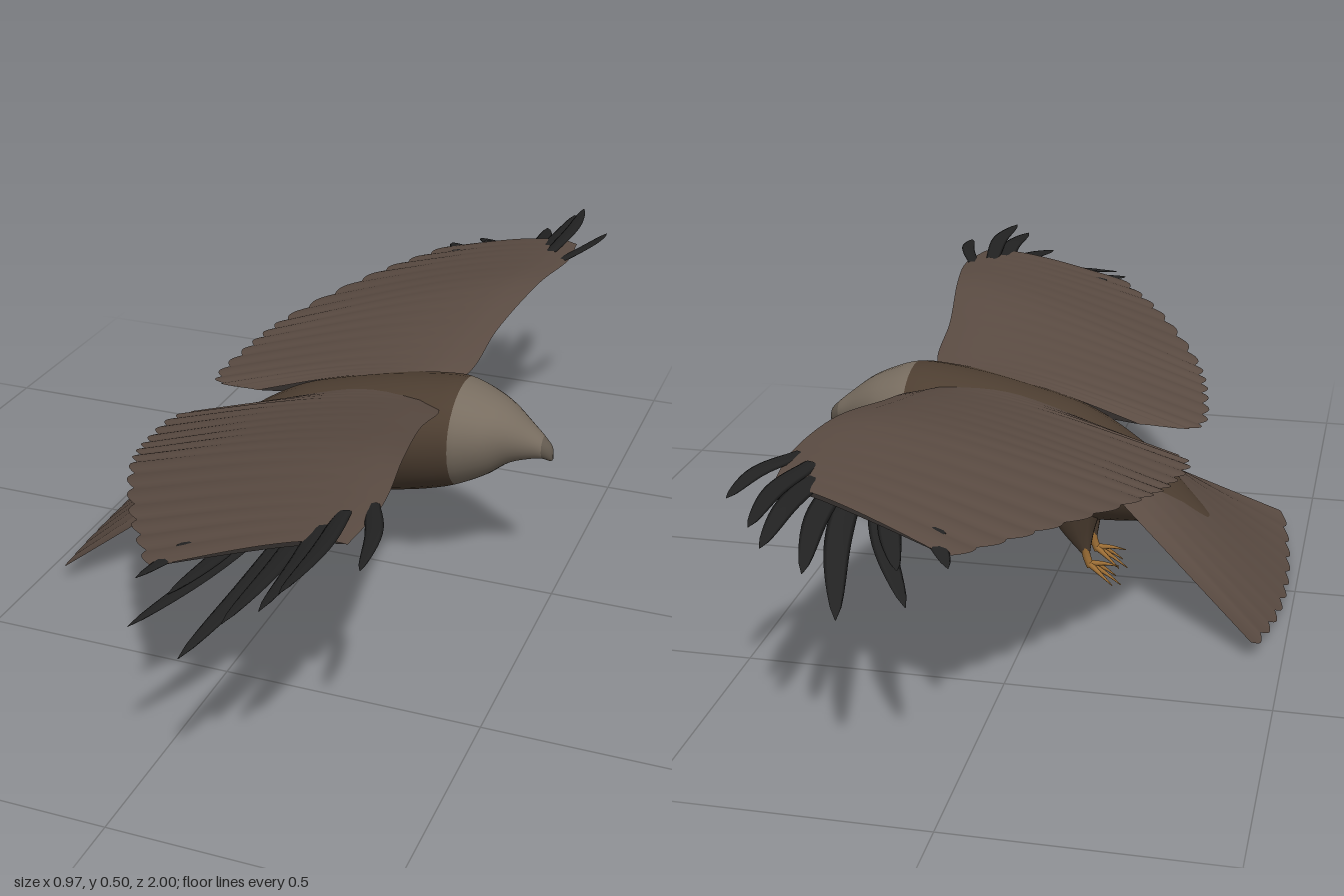
import * as THREE from 'three';

const V = (x, y, z) => new THREE.Vector3(x, y, z);
const spline = (pts) => new THREE.CatmullRomCurve3(pts.map((p) => V(...p)));
const paint = (color) => new THREE.MeshStandardMaterial({ color, side: THREE.DoubleSide, roughness: 0.9 });

const plumage = paint(0x5a4b42);
const belly = paint(0x4d3e31);
const headTone = paint(0x786d60);
const beakTone = paint(0x645b50);
const underTone = paint(0x2c2826);
const quill = paint(0x222222);
const skin = paint(0x9a6c34);

// Smooth surface from a rule point(u, v); wrap closes it in v.
function surface(name, material, nu, nv, point, { flip = false, wrap = false } = {}) {
  const cols = wrap ? nv : nv + 1;
  const pos = [], index = [];
  for (let i = 0; i <= nu; i++)
    for (let j = 0; j < cols; j++) pos.push(...point(i / nu, j / nv).toArray());
  for (let i = 0; i < nu; i++)
    for (let j = 0; j < nv; j++) {
      const k = (j + 1) % cols;
      const a = i * cols + j, b = a + cols, c = i * cols + k, d = c + cols;
      if (flip) index.push(a, c, b, b, c, d);
      else index.push(a, b, c, b, d, c);
    }
  const g = new THREE.BufferGeometry();
  g.setAttribute('position', new THREE.Float32BufferAttribute(pos, 3));
  g.setIndex(index);
  g.computeVertexNormals();
  const mesh = new THREE.Mesh(g, material);
  mesh.name = name;
  return mesh;
}

// Tapered limb or feather along a path; side is the direction of its width.
function limb(name, material, pts, side, width, thick, sides = 8, steps = 12) {
  const path = spline(pts);
  return surface(name, material, steps, sides, (u, v) => {
    const d = path.getTangent(u);
    const b = side.clone().cross(d).normalize();
    const n = d.clone().cross(b);
    const a = v * Math.PI * 2;
    return path.getPoint(u)
      .addScaledVector(n, Math.cos(a) * width(u))
      .addScaledVector(b, Math.sin(a) * thick(u));
  }, { wrap: true });
}

// Body stations from rump to beak tip: x, top, bottom, half width
const STATIONS = [
  [-0.35, 0.125, 0.105, 0.02], [-0.26, 0.215, 0.133, 0.065], [-0.2, 0.275, 0.143, 0.09],
  [-0.13, 0.33, 0.138, 0.1], [-0.05, 0.375, 0.138, 0.112], [0.05, 0.405, 0.162, 0.122],
  [0.15, 0.428, 0.187, 0.126], [0.24, 0.442, 0.207, 0.122], [0.3, 0.445, 0.226, 0.11],
  [0.36, 0.426, 0.258, 0.086], [0.4, 0.405, 0.288, 0.06], [0.44, 0.374, 0.302, 0.034],
  [0.465, 0.353, 0.306, 0.02], [0.482, 0.335, 0.303, 0.009], [0.486, 0.322, 0.308, 0.002],
];
const outline = spline(STATIONS.map(([x, t, b]) => [x, t, b]));
const girth = spline(STATIONS.map(([x, , , w]) => [x, w, 0]));

function bodyPart(name, material, from, to) {
  const last = STATIONS.length - 1;
  return surface(name, material, (to - from) * 5, 28, (u, v) => {
    const t = (from + (to - from) * u) / last;
    const o = outline.getPoint(t), w = girth.getPoint(t).y;
    const a = v * Math.PI * 2, c = Math.cos(a);
    // fuller above the middle, narrower towards the keel
    const y = (o.y + o.z) / 2 + c * (o.y - o.z) / 2;
    return V(o.x, y, -Math.sin(a) * w * (1 + 0.14 * c));
  }, { wrap: true });
}

// Wing edges on the +z side, root to tip
const LEADING = spline([[0.24, 0.4, 0.03], [0.28, 0.42, 0.1], [0.292, 0.455, 0.25],
  [0.325, 0.49, 0.45], [0.347, 0.487, 0.62], [0.335, 0.48, 0.75]]);
const TRAILING = spline([[-0.17, 0.33, 0.045], [-0.275, 0.315, 0.09], [-0.272, 0.33, 0.25],
  [-0.235, 0.352, 0.39], [-0.115, 0.388, 0.63], [0.01, 0.41, 0.82]]);

// Wingtip feathers: root, tip, half width
const FINGERS = [
  [[0.33, 0.485, 0.62], [0.385, 0.485, 0.83], 0.015],
  [[0.295, 0.485, 0.66], [0.3, 0.495, 0.955], 0.017],
  [[0.265, 0.478, 0.66], [0.275, 0.47, 0.975], 0.019],
  [[0.24, 0.468, 0.66], [0.21, 0.43, 0.97], 0.02],
  [[0.22, 0.46, 0.67], [0.148, 0.37, 1.0], 0.022],
  [[0.17, 0.45, 0.69], [0.045, 0.385, 0.965], 0.02],
  [[0.14, 0.445, 0.68], [0.08, 0.41, 0.89], 0.02],
  [[0.07, 0.43, 0.68], [0.005, 0.405, 0.855], 0.02],
];

function wing(s, name) {
  const group = new THREE.Group();
  group.name = name;
  const sheet = (camber) => (u, v) => {
    const l = LEADING.getPoint(u), t = TRAILING.getPoint(u);
    const scallop = 0.014 * Math.abs(Math.sin(u * Math.PI * 17)) * Math.min(1, u * 5);
    t.x -= scallop - 0.007;
    const p = l.lerp(t, v);
    p.y += camber(u) * Math.sin(Math.PI * Math.pow(v, 0.65));
    p.z *= s;
    return p;
  };
  group.add(
    surface('wingTop', plumage, 102, 14, sheet((u) => 0.036 - 0.02 * u), { flip: s > 0 }),
    surface('wingUnderside', underTone, 102, 14, sheet((u) => -0.008 + 0.016 * u), { flip: s < 0 }),
  );
  for (const [root, tip, w] of FINGERS) {
    const mid = root.map((r, i) => (r + tip[i]) / 2 + [0.012, 0.006, 0][i]);
    const pts = [root, mid, tip].map(([x, y, z]) => [x, y, z * s]);
    const taper = (u) => 0.0008 + w * Math.pow(Math.sin(Math.PI * (0.22 + 0.78 * u)), 0.6);
    group.add(limb('wingtipFeather', quill, pts, V(0.97, 0.22, 0), taper, (u) => 0.004 * (1 - u) + 0.0005));
  }
  return group;
}

// Fanned tail, domed at the root and scalloped at the end
function tail() {
  const group = new THREE.Group();
  group.name = 'tail';
  const sheet = (drop) => (u, v) => {
    const k = u * 2 - 1, k2 = k * k;
    const scallop = 0.01 * (1 - Math.abs(Math.sin(u * Math.PI * 10)));
    const root = V(-0.15, 0.308 - 0.075 * k2, 0.13 * k);
    const tip = V(-0.485 + 0.035 * k2 + scallop, 0.006 + 0.028 * k2 + scallop, 0.32 * k);
    const p = root.lerp(tip, v);
    p.y -= drop * (1 - v) * (1 - k2);
    return p;
  };
  group.add(
    surface('tailTop', plumage, 80, 12, sheet(0), { flip: true }),
    surface('tailUnderside', underTone, 80, 12, sheet(0.03)),
  );
  return group;
}

function leg(s, name) {
  const group = new THREE.Group();
  group.name = name;
  const z = 0.042 * s, side = V(0, 0, 1);
  const rod = (part, material, pts, r0, r1, wide = 1) => {
    const r = (u) => r0 + (r1 - r0) * Math.pow(u, 0.8);
    group.add(limb(part, material, pts, side, (u) => r(u) * wide, r, 10));
  };
  rod('thigh', belly, [[-0.04, 0.21, z], [-0.052, 0.13, z], [-0.07, 0.064, z]], 0.085, 0.006, 0.6);
  rod('shank', skin, [[-0.066, 0.085, z], [-0.07, 0.062, z], [-0.078, 0.04, z]], 0.009, 0.008);
  // Toes trail backwards, each ending in a thin claw
  const toes = [[-0.138, 0.046, 0], [-0.142, 0.004, 0], [-0.128, 0.012, 0.024], [-0.128, 0.012, -0.024]];
  for (const [x, y, dz] of toes) {
    const mid = [(x - 0.075) / 2, (y + 0.045) / 2 + 0.004, z + dz * 0.7];
    rod('toe', skin, [[-0.075, 0.047, z], mid, [x, y, z + dz]], 0.008, 0.001);
  }
  return group;
}

export function createModel() {
  const bird = new THREE.Group();
  bird.name = 'bird';
  bird.add(
    bodyPart('body', belly, 0, 8),
    bodyPart('head', headTone, 8, 12),
    bodyPart('beak', beakTone, 12, 14),
    tail(),
  );
  // The bird faces +x, so its own left is -z
  for (const [s, label] of [[-1, 'left'], [1, 'right']])
    bird.add(wing(s, label + 'Wing'), leg(s, label + 'Leg'));
  return bird;
}
